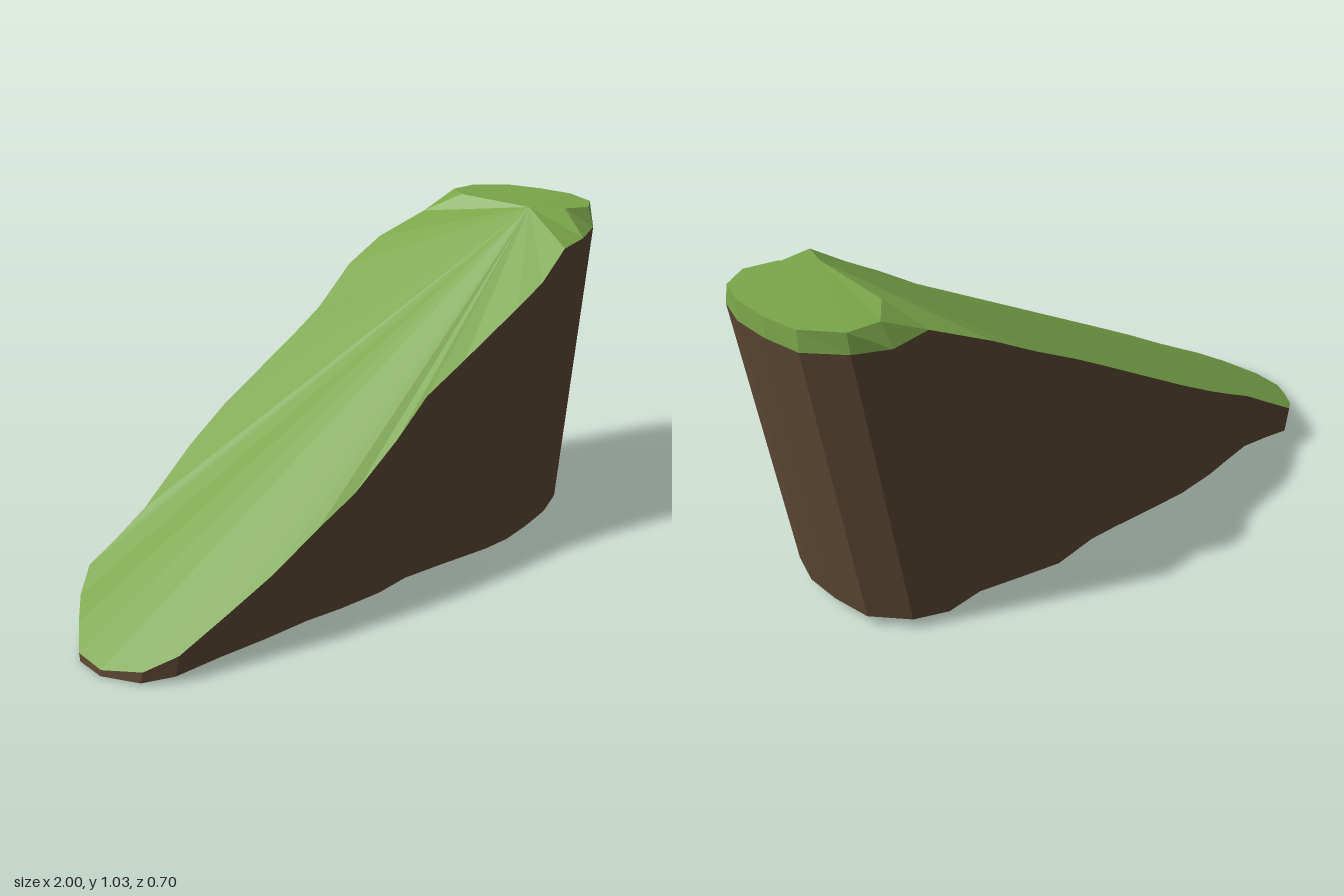
import * as THREE from 'three';

// Upper rim of the earth wall [x, y, z]: tip, front edge, tall end, back edge
const RIM = [
  [-1, .02, 0], [-.95, .04, .12], [-.87, .08, .18], [-.72, .16, .215], [-.58, .24, .25], [-.42, .33, .27],
  [-.28, .4, .285], [-.1, .51, .285], [.05, .6, .27], [.2, .68, .29], [.4, .81, .335], [.5, .87, .35],
  [.62, .955, .345], [.75, .96, .325], [.88, .965, .275], [.97, .965, .21], [1, .97, .1], [.995, .97, -.02],
  [.97, .97, -.14], [.88, .97, -.235], [.78, .965, -.275], [.66, .97, -.265],
  [.5, .9, -.325], [.37, .825, -.345], [.2, .72, -.32], [.1, .66, -.325], [-.05, .57, -.34], [-.2, .48, -.355],
  [-.35, .39, -.35], [-.45, .33, -.335], [-.57, .26, -.315], [-.68, .19, -.325], [-.77, .135, -.338],
  [-.85, .09, -.28], [-.92, .06, -.2], [-.99, .025, -.11],
];
// Flat lookout at the tall end, one point per rim point from CAP_START
const CAP_START = 12;
const CAP = [
  [.72, 1.035, .13], [.8, 1.03, .215], [.89, 1.025, .245], [.965, 1.025, .2], [.995, 1.03, .1],
  [.99, 1.03, -.02], [.965, 1.03, -.13], [.88, 1.03, -.225], [.785, 1.03, -.235], [.72, 1.035, -.15],
];
const CAP_END = CAP_START + CAP.length - 1;

// Foot of the wall: leans in under the tall end, with a wavy lower edge
function foot([x, y, z]) {
  const arch = (z > 0 ? .035 : .02) * Math.exp(-(((x + .45) / .35) ** 2));
  const rise = .022 * THREE.MathUtils.smoothstep(x, .2, .75);
  const base = .015 * THREE.MathUtils.smoothstep(x, -1, -.8);
  const k = z > 0 ? .97 : x > .5 ? 1.04 : .93;
  return [x - .13 * y, base + arch + rise, z * k];
}

const fan = (apex, loop) => loop.slice(1).flatMap((p, i) => [apex, loop[i], p]);
const strip = (upper, lower) => upper.slice(1).flatMap((p, i) =>
  [upper[i], lower[i], lower[i + 1], upper[i], lower[i + 1], p]);

function facets(name, points, material) {
  const geometry = new THREE.BufferGeometry();
  geometry.setAttribute('position', new THREE.Float32BufferAttribute(points.flat(), 3));
  geometry.computeVertexNormals();
  const mesh = new THREE.Mesh(geometry, material);
  mesh.name = name;
  return mesh;
}

export function createModel() {
  const group = new THREE.Group();
  group.name = 'grassRamp';
  const grass = new THREE.MeshStandardMaterial({ color: 0x7aa64a, flatShading: true });
  const earth = new THREE.MeshStandardMaterial({ color: 0x5f4a35, flatShading: true });

  // Earth wall in three bands, and the underside
  const top = [...RIM, RIM[0]];
  const bottom = top.map(foot);
  const band = (t) => top.map((p, i) => p.map((v, a) => v + (bottom[i][a] - v) * t));
  for (let i = 0; i < 3; i++) {
    group.add(facets('earthWall', strip(band(i / 3), band((i + 1) / 3)), earth));
  }
  group.add(facets('underside', fan([-.05, .015, 0], bottom.slice().reverse()), earth));

  // Grass slope, spreading from the edge of the lookout
  const slopeLoop = [CAP.at(-1), ...RIM.slice(CAP_END), ...RIM.slice(0, CAP_START + 1)];
  group.add(facets('grassSlope', fan(CAP[0], slopeLoop), grass));

  // Grass lookout and its bevelled lip
  group.add(facets('grassTop', fan(CAP[0], CAP.slice(1)), grass));
  group.add(facets('grassLip', strip(CAP, RIM.slice(CAP_START, CAP_END + 1)), grass));
  return group;
}
